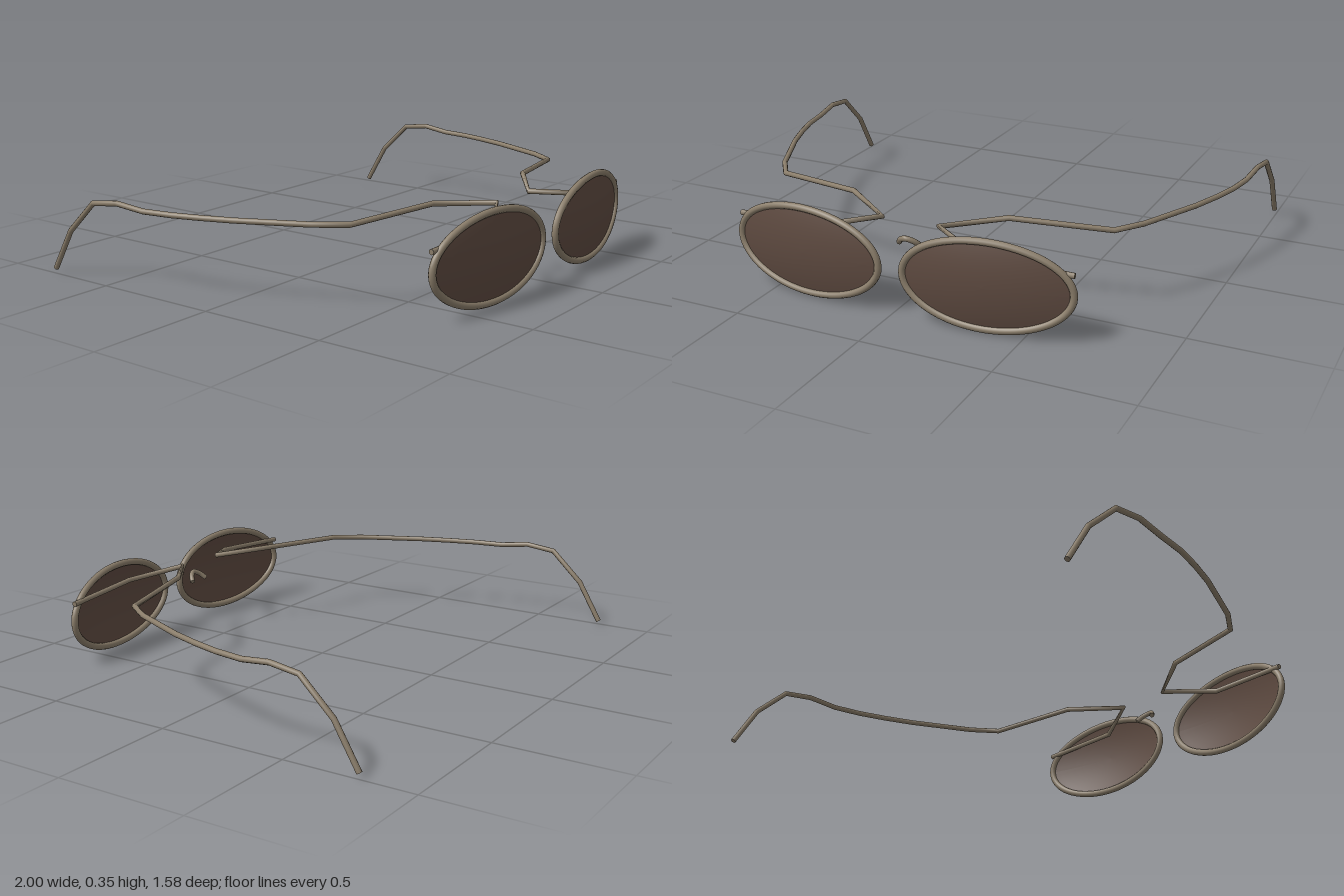
import * as THREE from 'three';

const metal = new THREE.MeshStandardMaterial({ color: 0x8a7d6a });
metal.name = 'bronze metal';
const tint = new THREE.MeshStandardMaterial({ color: 0x5e4a40, side: THREE.DoubleSide });
tint.name = 'brown tinted lens';

const CX = 0.358, CY = 0.178, RX = 0.31, RY = 0.163;

// Wrap of the lens plane: falls back towards the outer edge
const wrapZ = (x) => 0.775 - 0.064 * ((Math.abs(x) - 0.05) / 0.618) ** 2;

// Straight segments through the given points, with averaged tangents at the bends
class BentWire extends THREE.Curve {
  constructor(points) {
    super();
    this.points = points;
  }
  getPointAt(u, target = new THREE.Vector3()) {
    const n = this.points.length - 1;
    const i = Math.min(Math.floor(u * n + 1e-6), n - 1);
    return target.lerpVectors(this.points[i], this.points[i + 1], u * n - i);
  }
  getPoint(t, target) {
    return this.getPointAt(t, target);
  }
  getTangentAt(u, target = new THREE.Vector3()) {
    const p = this.points, n = p.length - 1, i = Math.round(u * n);
    const a = p[Math.max(i - 1, 0)], b = p[i], c = p[Math.min(i + 1, n)];
    const before = b.clone().sub(a).normalize(), after = c.clone().sub(b).normalize();
    return target.copy(before).add(after).normalize();
  }
}

// Round wire with flat ends
function wire(name, curve, segments, radius) {
  const group = new THREE.Group();
  group.name = name;
  const tube = new THREE.Mesh(new THREE.TubeGeometry(curve, segments, radius, 10), metal);
  tube.name = name + 'Wire';
  group.add(tube);
  for (const u of [0, 1]) {
    const cap = new THREE.Mesh(new THREE.CircleGeometry(radius, 10), metal);
    cap.name = name + 'End';
    const at = curve.getPointAt(u);
    const out = curve.getTangentAt(u).multiplyScalar(u ? 1 : -1);
    cap.position.copy(at);
    cap.quaternion.setFromUnitVectors(new THREE.Vector3(0, 0, 1), out);
    group.add(cap);
  }
  return group;
}

// Oval rim following the wrap
function rim(side) {
  const pts = [];
  for (let i = 0; i < 48; i++) {
    const a = (i / 48) * Math.PI * 2;
    const x = side * CX + RX * Math.cos(a);
    pts.push(new THREE.Vector3(x, CY + RY * Math.sin(a), wrapZ(x)));
  }
  const curve = new THREE.CatmullRomCurve3(pts, true);
  return new THREE.Mesh(new THREE.TubeGeometry(curve, 80, 0.0135, 10, true), metal);
}

// Slightly domed oval lens
function lens(side) {
  const geo = new THREE.RingGeometry(0.001, 1, 56, 8);
  const pos = geo.attributes.position;
  for (let i = 0; i < pos.count; i++) {
    const px = pos.getX(i), py = pos.getY(i);
    const x = side * CX + RX * px;
    pos.setXYZ(i, x, CY + RY * py, wrapZ(x) + 0.022 * (1 - px * px - py * py));
  }
  geo.computeVertexNormals();
  return new THREE.Mesh(geo, tint);
}

// Temple arm: hinge bend behind the lens, long bowed arm, ear hook
const ARM = [
  [0.668, 0.255, 0.707], [0.32, 0.272, 0.733], [0.115, 0.303, 0.62], [0.32, 0.318, 0.475],
  [0.685, 0.302, 0.385], [0.76, 0.302, 0.28], [0.82, 0.302, 0.15], [0.875, 0.302, 0.03],
  [0.918, 0.302, -0.09], [0.95, 0.302, -0.2], [0.97, 0.302, -0.32], [0.982, 0.316, -0.44],
  [0.988, 0.301, -0.56], [0.989, 0.178, -0.69], [0.989, 0.018, -0.785],
];

export function createModel() {
  const model = new THREE.Group();
  model.name = 'sunglasses';

  for (const [side, label] of [[1, 'left'], [-1, 'right']]) {
    const frame = rim(side);
    frame.name = label + 'Rim';
    const glass = lens(side);
    glass.name = label + 'Lens';
    const curve = new BentWire(ARM.map(([x, y, z]) => new THREE.Vector3(side * x, y, z)));
    model.add(frame, glass, wire(label + 'Temple', curve, ARM.length - 1, 0.0105));
  }

  // Nose bridge: small arch leaning forward
  const arch = [[-0.044, 0.218, 0.626], [-0.026, 0.239, 0.645], [0, 0.249, 0.656],
    [0.026, 0.239, 0.645], [0.044, 0.218, 0.626]].map((p) => new THREE.Vector3(...p));
  model.add(wire('noseBridge', new THREE.CatmullRomCurve3(arch), 16, 0.0105));

  return model;
}
